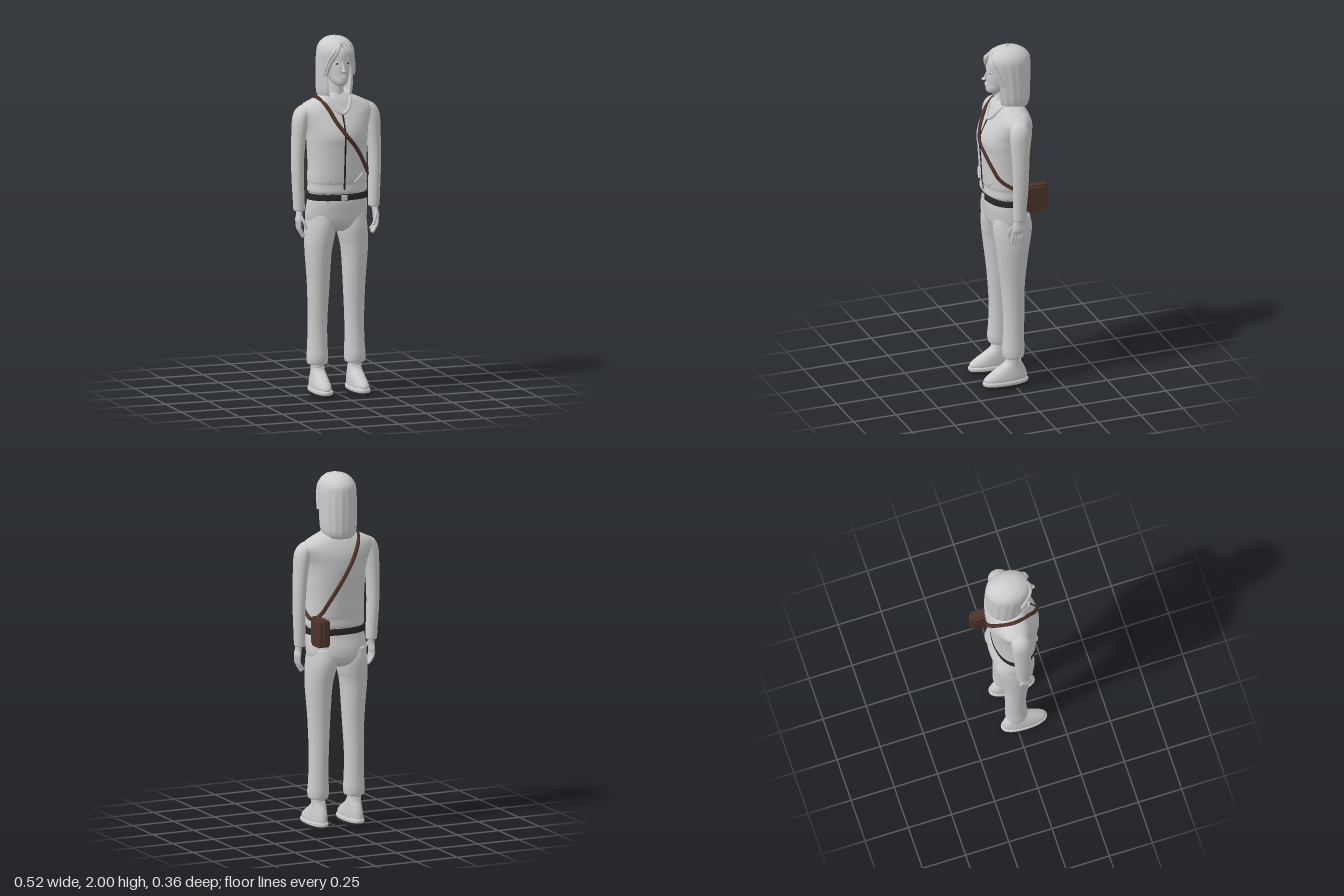
import * as THREE from 'three';

const material = (name, color, side = THREE.FrontSide) =>
  Object.assign(new THREE.MeshStandardMaterial({ color, side }), { name });

// Smooth rows of numbers with a Catmull-Rom spline
function refine(rows, steps = 4) {
  const out = [];
  for (let i = 0; i < rows.length - 1; i++) {
    const a = rows[Math.max(i - 1, 0)], b = rows[i], c = rows[i + 1], d = rows[Math.min(i + 2, rows.length - 1)];
    for (let s = 0; s < steps; s++) {
      const t = s / steps;
      out.push(b.map((v, k) => v + 0.5 * t * (c[k] - a[k] + t * (2 * a[k] - 5 * v + 4 * c[k] - d[k]
        + t * (3 * (v - c[k]) + d[k] - a[k])))));
    }
  }
  out.push(rows[rows.length - 1]);
  return out;
}

const power = (v, n) => Math.sign(v) * Math.pow(Math.abs(v), 2 / n);

// Closed body from cross-sections, bottom to top: [y, centreX, halfWidth, frontZ, backZ]
function loft(rows, n = 2, sides = 36) {
  const rings = refine(rows), pos = [], index = [];
  for (const [y, cx, rx, zf, zb] of rings)
    for (let j = 0; j < sides; j++) {
      const a = (j / sides) * Math.PI * 2;
      pos.push(cx + rx * power(Math.cos(a), n), y, (zf + zb) / 2 + ((zf - zb) / 2) * power(Math.sin(a), n));
    }
  for (let i = 0; i < rings.length - 1; i++)
    for (let j = 0; j < sides; j++) {
      const a = i * sides + j, b = i * sides + ((j + 1) % sides);
      index.push(a, a + sides, b, b, a + sides, b + sides);
    }
  const last = rings.length - 1, base = rings.length * sides;
  for (const r of [rings[0], rings[last]]) pos.push(r[1], r[0], (r[3] + r[4]) / 2);
  for (let j = 0; j < sides; j++) {
    const k = (j + 1) % sides;
    index.push(base, j, k, base + 1, last * sides + k, last * sides + j);
  }
  return build(pos, index);
}

function build(pos, index) {
  const g = new THREE.BufferGeometry();
  g.setAttribute('position', new THREE.Float32BufferAttribute(pos, 3));
  g.setIndex(index);
  g.computeVertexNormals();
  return g;
}

const tube = (points, radius, closed = false, segments = 40) => new THREE.TubeGeometry(
  new THREE.CatmullRomCurve3(points.map(p => new THREE.Vector3(...p)), closed), segments, radius, 8, closed);

const TORSO = [
  [1.135, 0, 0.158, 0.125, -0.092], [1.145, 0, 0.168, 0.135, -0.1], [1.185, 0, 0.166, 0.134, -0.1],
  [1.21, 0, 0.168, 0.14, -0.104], [1.3, 0, 0.165, 0.145, -0.113], [1.4, 0, 0.168, 0.152, -0.126],
  [1.45, 0, 0.171, 0.157, -0.132], [1.5, 0, 0.178, 0.146, -0.134], [1.55, 0, 0.196, 0.122, -0.13],
  [1.59, 0, 0.21, 0.1, -0.118], [1.62, 0, 0.192, 0.083, -0.105], [1.645, 0, 0.145, 0.072, -0.09],
  [1.665, 0, 0.1, 0.06, -0.078], [1.685, 0, 0.06, 0.045, -0.06]];

// Point on the jacket at (x, y), on its front (1) or back (-1)
function onTorso(x, y, side, lift = 0.002) {
  const rings = refine(TORSO);
  const r = rings.reduce((p, q) => (Math.abs(q[0] - y) < Math.abs(p[0] - y) ? q : p));
  const depth = Math.pow(Math.max(0, 1 - Math.pow(Math.abs(x) / r[2], 2.2)), 1 / 2.2);
  return [x, y, (r[3] + r[4]) / 2 + side * (((r[3] - r[4]) / 2) * depth + lift)];
}

// Hair shell, open over the face: [y, halfWidth, frontZ, backZ, half opening angle]
function hairShell() {
  const rings = refine([
    [1.642, 0.072, 0.04, -0.118, 0.7], [1.66, 0.09, 0.062, -0.127, 0.66], [1.7, 0.1, 0.078, -0.133, 0.65],
    [1.8, 0.102, 0.092, -0.136, 0.73], [1.85, 0.103, 0.102, -0.137, 0.62], [1.9, 0.102, 0.114, -0.137, 0.4],
    [1.935, 0.097, 0.115, -0.134, 0.2], [1.965, 0.08, 0.095, -0.112, 0.03], [1.988, 0.05, 0.055, -0.075, 0],
    [2.0, 0.004, 0, -0.02, 0]]);
  const sides = 96, pos = [], index = [];
  rings.forEach(([y, rx, zf, zb, gap], i) => {
    for (let j = 0; j <= sides; j++) {
      const a = gap + (j / sides) * (Math.PI * 2 - 2 * gap);
      const k = 1 + (y < 1.95 ? 0.012 * Math.sin(a * 17) * Math.min(1, (1.95 - y) * 12) : 0);
      pos.push(-Math.sin(a) * rx * k, y, (zf + zb) / 2 + Math.cos(a) * ((zf - zb) / 2) * k);
      if (i && j) {
        const c = i * (sides + 1) + j, b = c - sides - 1;
        index.push(b - 1, c - 1, b, b, c - 1, c);
      }
    }
  });
  // Orient outwards: angles run from the front towards -x
  for (let i = 0; i < index.length; i += 3) [index[i + 1], index[i + 2]] = [index[i + 2], index[i + 1]];
  return build(pos, index.reverse());
}

export function createModel() {
  const model = new THREE.Group();
  const grey = material('light grey', 0xcccccc), hairGrey = material('hair grey', 0xcccccc, THREE.DoubleSide);
  const brown = material('brown leather', 0x4d342b), dark = material('black', 0x262626);
  const add = (name, geometry, mat = grey, position, scale, parent = model) => {
    const m = new THREE.Mesh(geometry, mat);
    m.name = name;
    if (position) m.position.set(...position);
    if (scale) m.scale.set(...scale);
    parent.add(m);
    return m;
  };
  const ball = new THREE.SphereGeometry(1, 20, 14);

  // Jacket, collar and zip
  add('jacket', loft(TORSO, 2.2, 48));
  add('collar', tube([[0, 1.69, -0.07], [0.066, 1.685, -0.02], [0.062, 1.655, 0.055], onTorso(0.035, 1.6, 1),
    onTorso(0, 1.58, 1), onTorso(-0.035, 1.6, 1), [-0.062, 1.655, 0.055], [-0.066, 1.685, -0.02]], 0.009, true, 60));
  const zip = [];
  for (let y = 1.16; y < 1.6; y += 0.03) zip.push(onTorso(0, y, 1, 0));
  add('zip', tube(zip, 0.005), dark);

  // Trousers and belt
  add('hips', loft([[0.915, 0, 0.07, 0.06, -0.07], [0.935, 0, 0.13, 0.09, -0.1], [0.97, 0, 0.168, 0.112, -0.118],
    [1.02, 0, 0.175, 0.12, -0.115], [1.08, 0, 0.17, 0.125, -0.098], [1.14, 0, 0.16, 0.12, -0.088]], 2.15, 48));
  add('belt', loft([[1.098, 0, 0.165, 0.122, -0.09], [1.1, 0, 0.174, 0.132, -0.1], [1.13, 0, 0.172, 0.132, -0.098],
    [1.132, 0, 0.163, 0.12, -0.088]], 2.15, 48), dark);
  add('buckle', new THREE.BoxGeometry(0.032, 0.028, 0.009), grey, [0, 1.115, 0.133]);

  for (const s of [1, -1]) {
    const mirrorX = rows => rows.map(([y, cx, ...rest]) => [y, cx * s, ...rest]);
    const side = s > 0 ? 'left' : 'right';

    add(side + 'Leg', loft(mirrorX([
      [0.17, 0.11, 0.05, 0.052, -0.05], [0.178, 0.11, 0.057, 0.06, -0.058], [0.215, 0.11, 0.059, 0.064, -0.062],
      [0.27, 0.109, 0.056, 0.06, -0.061], [0.4, 0.108, 0.054, 0.056, -0.062], [0.6, 0.105, 0.061, 0.07, -0.066],
      [0.8, 0.106, 0.073, 0.094, -0.088], [0.88, 0.098, 0.081, 0.105, -0.104], [0.95, 0.09, 0.084, 0.11, -0.114],
      [1.02, 0.085, 0.08, 0.1, -0.1]])));
    add(side + 'Ankle', new THREE.CylinderGeometry(0.038, 0.038, 0.07, 24), grey, [s * 0.11, 0.155, 0]);
    add(side + 'Shoe', loft(mirrorX([
      [0.036, 0.11, 0.046, 0.17, -0.08], [0.055, 0.11, 0.047, 0.17, -0.079], [0.08, 0.109, 0.045, 0.14, -0.074],
      [0.11, 0.108, 0.041, 0.09, -0.062], [0.135, 0.108, 0.038, 0.052, -0.048], [0.152, 0.108, 0.036, 0.042, -0.043]]), 2.2));
    add(side + 'Midsole', loft(mirrorX([[0.018, 0.11, 0.05, 0.175, -0.083], [0.024, 0.11, 0.052, 0.178, -0.086],
      [0.036, 0.11, 0.052, 0.178, -0.086], [0.042, 0.11, 0.047, 0.17, -0.08]]), 2.3));
    add(side + 'Sole', loft(mirrorX([[0, 0.11, 0.047, 0.17, -0.078], [0.005, 0.11, 0.051, 0.176, -0.084],
      [0.02, 0.11, 0.051, 0.176, -0.084]]), 2.3), dark);

    // Sleeve
    add(side + 'Sleeve', loft(mirrorX([
      [1.035, 0.219, 0.024, 0.036, -0.022], [1.042, 0.219, 0.031, 0.042, -0.028], [1.1, 0.221, 0.032, 0.043, -0.032],
      [1.2, 0.225, 0.033, 0.045, -0.04], [1.3, 0.226, 0.034, 0.047, -0.045], [1.4, 0.222, 0.037, 0.05, -0.05],
      [1.5, 0.214, 0.042, 0.056, -0.056], [1.55, 0.207, 0.045, 0.055, -0.057], [1.585, 0.195, 0.045, 0.048, -0.054],
      [1.61, 0.18, 0.038, 0.035, -0.045], [1.628, 0.165, 0.015, 0.012, -0.02]])));

    // Hand with curled fingers
    const hand = new THREE.Group();
    hand.name = side + 'Hand';
    model.add(hand);
    add('palm', loft(mirrorX([[0.962, 0.226, 0.012, 0.05, -0.012], [0.985, 0.227, 0.016, 0.053, -0.014],
      [1.015, 0.223, 0.016, 0.045, -0.008], [1.05, 0.219, 0.018, 0.035, -0.015]])), grey, null, null, hand);
    for (let f = 0; f < 4; f++) {
      const z = -0.005 + f * 0.0165, tip = [0.908, 0.897, 0.893, 0.902][f];
      add('finger', tube([[s * 0.228, 0.98, z], [s * 0.225, 0.94, z], [s * 0.205, tip, z]], 0.008, false, 10), grey, null, null, hand);
      add('fingertip', ball, grey, [s * 0.205, tip, z], [0.008, 0.008, 0.008], hand);
    }
    add('thumb', tube([[s * 0.222, 1.01, 0.045], [s * 0.21, 0.98, 0.06], [s * 0.2, 0.945, 0.063]], 0.008, false, 10), grey, null, null, hand);
    add('thumbTip', ball, grey, [s * 0.2, 0.945, 0.063], [0.008, 0.009, 0.008], hand);

    // Slanted pocket, face details and front hair locks
    add(side + 'Pocket', tube([[0.06, 1.197], [0.085, 1.22], [0.112, 1.243]].map(([x, y]) => onTorso(x * s, y, 1)), 0.005, false, 10));
    add(side + 'Eye', ball, grey, [s * 0.031, 1.862, 0.1], [0.013, 0.007, 0.007]);
    add(side + 'Iris', ball, dark, [s * 0.031, 1.862, 0.106], [0.005, 0.005, 0.003]);
    add(side + 'Eyebrow', tube([[s * 0.016, 1.88, 0.109], [s * 0.032, 1.886, 0.103], [s * 0.048, 1.88, 0.091]], 0.003, false, 10));
    for (const k of [0, 1])
      add(side + 'HairLock', tube([[s * 0.006, 1.972 - k * 0.01, 0.085], [s * (0.032 + k * 0.016), 1.925, 0.107 - k * 0.006],
        [s * (0.062 + k * 0.012), 1.86, 0.083 - k * 0.01], [s * (0.077 + k * 0.008), 1.79, 0.052 - k * 0.01]], 0.012, false, 24), hairGrey);
  }

  // Head
  add('neck', loft([[1.58, 0, 0.06, 0.075, -0.06], [1.64, 0, 0.048, 0.058, -0.055], [1.7, 0, 0.042, 0.048, -0.055],
    [1.78, 0, 0.042, 0.05, -0.06]]));
  add('face', loft([[1.735, 0, 0.02, 0.1, 0.04], [1.745, 0, 0.036, 0.114, 0], [1.765, 0, 0.048, 0.119, -0.04],
    [1.79, 0, 0.057, 0.115, -0.07], [1.83, 0, 0.066, 0.115, -0.1], [1.87, 0, 0.071, 0.11, -0.115],
    [1.92, 0, 0.075, 0.104, -0.118], [1.955, 0, 0.062, 0.075, -0.1], [1.98, 0, 0.03, 0.03, -0.06]], 2.1));
  add('noseBridge', tube([[0, 1.872, 0.104], [0, 1.845, 0.117], [0, 1.822, 0.132]], 0.007, false, 10));
  add('noseTip', ball, grey, [0, 1.822, 0.127], [0.013, 0.009, 0.017]);
  add('upperLip', ball, grey, [0, 1.792, 0.115], [0.02, 0.005, 0.009]);
  add('lowerLip', ball, grey, [0, 1.782, 0.115], [0.017, 0.005, 0.009]);
  add('hair', hairShell(), hairGrey);

  // Shoulder strap across front and back
  const front = [[-0.08, 1.615], [-0.045, 1.54], [0.01, 1.46], [0.06, 1.4], [0.105, 1.33], [0.14, 1.265]];
  const back = [[0.13, 1.215], [0.09, 1.29], [0.03, 1.4], [-0.03, 1.51], [-0.08, 1.605]];
  add('strap', tube([[-0.115, 1.663, -0.01], ...front.map(([x, y]) => onTorso(x, y, 1, 0.003)),
    [0.168, 1.215, 0.03], [0.166, 1.19, -0.04], ...back.map(([x, y]) => onTorso(x, y, -1, 0.003))], 0.011, true, 120), brown);

  // Hip bag: a wide body with a deeper central band
  const bagPart = (name, x0, x1, z0, z1, y0, y1, c) => {
    const shape = new THREE.Shape([[z0 + c, y0], [z1 - c, y0], [z1, y0 + c], [z1, y1 - c / 2], [z1 - c / 2, y1],
      [z0 + c / 2, y1], [z0, y1 - c / 2], [z0, y0 + c]].map(p => new THREE.Vector2(...p)));
    const g = new THREE.ExtrudeGeometry(shape, { depth: x1 - x0, bevelEnabled: false });
    add(name, g.rotateY(-Math.PI / 2).translate(x1, 0, 0), brown);
  };
  bagPart('bagBody', 0.12, 0.18, -0.17, -0.052, 1.05, 1.2, 0.02);
  bagPart('bagBand', 0.132, 0.165, -0.184, -0.038, 1.058, 1.208, 0.012);
  return model;
}
